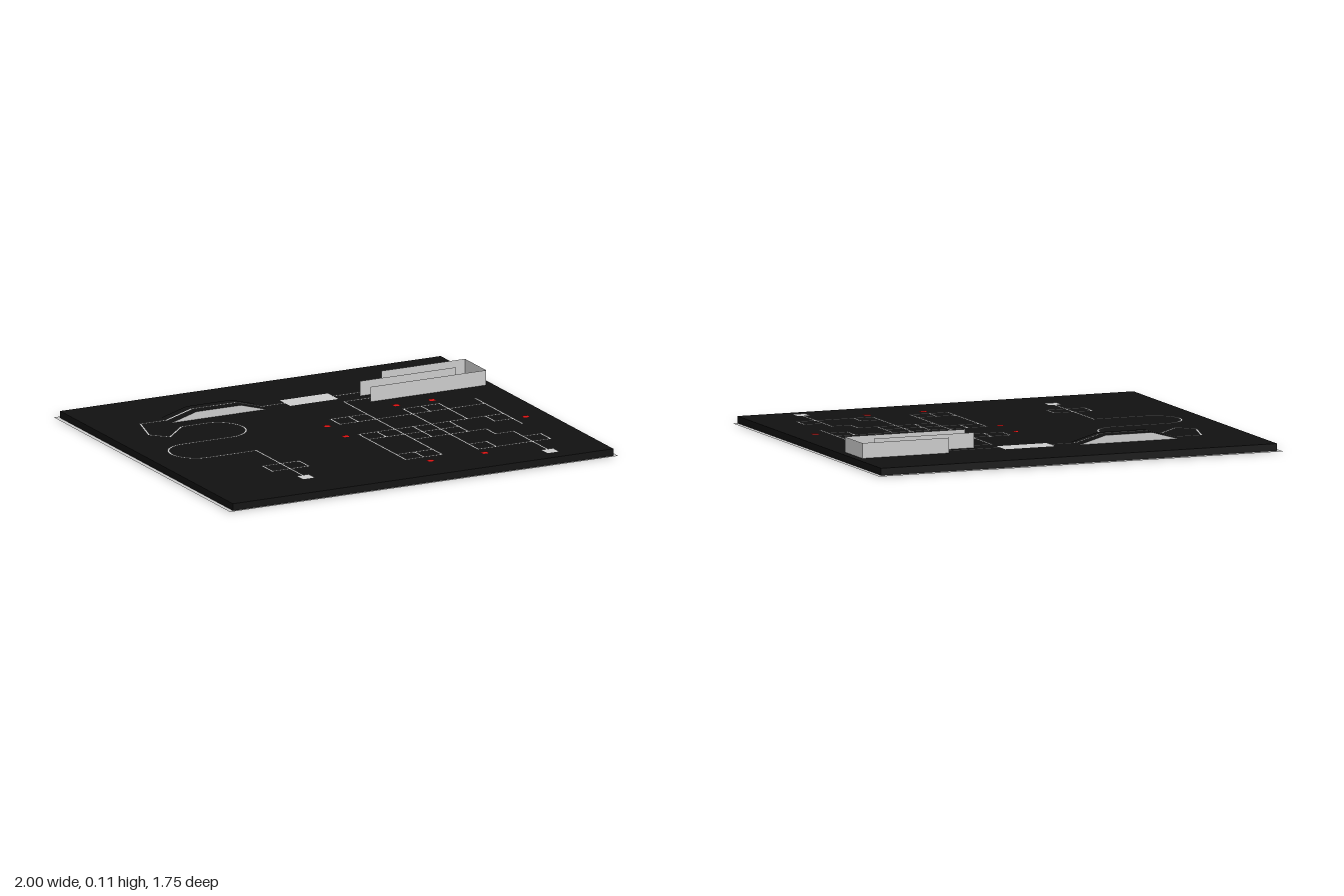
import * as THREE from 'three';

const grey = new THREE.MeshStandardMaterial({ color: 0xcccccc, side: THREE.DoubleSide });
const black = new THREE.MeshStandardMaterial({ color: 0x111111 });
const red = new THREE.MeshStandardMaterial({ color: 0xdd1111 });
const TOP = 0.034; // upper face of the board
const LINE = 0.01; // width of the painted lines

function add(parent, name, geometry, material) {
  const mesh = new THREE.Mesh(geometry, material);
  mesh.name = name;
  parent.add(mesh);
  return mesh;
}

function group(parent, name) {
  const g = new THREE.Group();
  g.name = name;
  parent.add(g);
  return g;
}

// Flat rectangle lying at height y
function tile(parent, name, x, z, w, d, y, material) {
  const geometry = new THREE.PlaneGeometry(w, d).rotateX(-Math.PI / 2);
  add(parent, name, geometry, material).position.set(x, y, z);
}

// Height of the bump profile along x
const bump = [[-0.62, 0], [-0.49, 0.037], [-0.26, 0.037], [-0.13, 0]];

// Flat mitred ribbon along points [x, z, height]
function ribbon(parent, name, points) {
  const pts = points.map(([x, z]) => new THREE.Vector2(x, z));
  const position = [], index = [];
  pts.forEach((p, i) => {
    const a = pts[Math.max(i - 1, 0)], b = pts[Math.min(i + 1, pts.length - 1)];
    const into = (i ? p.clone().sub(a) : b.clone().sub(p)).normalize();
    const out = (i < pts.length - 1 ? b.clone().sub(p) : into.clone()).normalize();
    const n1 = new THREE.Vector2(-into.y, into.x), n2 = new THREE.Vector2(-out.y, out.x);
    const n = n1.clone().add(n2).normalize();
    n.multiplyScalar(LINE / 2 / Math.max(n.dot(n1), 0.4));
    const y = TOP + 0.002 + (points[i][2] || 0);
    position.push(p.x - n.x, y, p.y - n.y, p.x + n.x, y, p.y + n.y);
    if (i) {
      const k = 2 * i;
      index.push(k - 2, k - 1, k, k, k - 1, k + 1);
    }
  });
  const g = new THREE.BufferGeometry();
  g.setAttribute('position', new THREE.Float32BufferAttribute(position, 3));
  g.setIndex(index);
  g.computeVertexNormals();
  add(parent, name, g, grey);
}

export function createModel() {
  const model = new THREE.Group();
  model.name = 'robotCourse';

  // Ground sheet and the black board on it
  tile(model, 'groundSheet', 0, 0, 2, 1.75, 0, grey);
  add(model, 'board', new THREE.BoxGeometry(1.96, TOP - 0.001, 1.715), black)
    .position.set(0, (TOP + 0.001) / 2, 0.008);

  // Bump: black running surface with grey sides
  const profile = new THREE.Shape(bump.map(([x, y]) => new THREE.Vector2(x, y)));
  const bumpGeometry = new THREE.ExtrudeGeometry(profile, { depth: 0.1, bevelEnabled: false });
  add(model, 'bump', bumpGeometry, [grey, black]).position.set(0, TOP, -0.54);

  // Flat plate crossed by the track
  tile(model, 'crossingPlate', 0.114, -0.488, 0.248, 0.103, TOP + 0.001, grey);

  // Winding track, running over the bump
  const track = group(model, 'windingTrack');
  const path = new THREE.Path();
  path.moveTo(-0.62, -0.487);
  path.lineTo(-0.755, -0.487);
  path.absarc(-0.755, -0.439, 0.048, -Math.PI / 2, -Math.PI, true);
  path.lineTo(-0.803, -0.31);
  path.lineTo(-0.733, -0.235);
  path.lineTo(-0.61, -0.36);
  path.lineTo(-0.487, -0.36);
  path.absarc(-0.487, -0.232, 0.128, -Math.PI / 2, Math.PI / 2, false);
  path.lineTo(-0.733, -0.105);
  path.absarc(-0.733, 0.019, 0.124, -Math.PI / 2, -1.5 * Math.PI, true);
  path.lineTo(-0.485, 0.143);
  path.lineTo(-0.485, 0.61);
  const winding = path.getPoints(24).map((p) => [p.x, p.y])
    .filter((p, i, all) => !i || Math.hypot(p[0] - all[i - 1][0], p[1] - all[i - 1][1]) > 0.003);
  const overBump = [...bump].reverse().map(([x, y]) => [x, -0.487, y]);
  ribbon(track, 'trackLine', [[0.61, -0.487], ...overBump, ...winding.slice(1)]);
  ribbon(track, 'trackBox', [[-0.485, 0.385], [-0.577, 0.385], [-0.577, 0.48],
    [-0.39, 0.48], [-0.39, 0.385], [-0.485, 0.385]]);
  tile(track, 'startPad', -0.485, 0.635, 0.062, 0.062, TOP + 0.003, grey);

  // Maze lines on a square grid: [column, row, column, row]
  const maze = group(model, 'maze');
  const gx = (c) => 0.053 + c * 0.0932, gz = (r) => -0.155 + r * 0.0932;
  const across = [[2, -2.45, 3.7], [0, 0, 2], [4, 0, 6], [0, 1, 8], [0, 3, 8], [0, 4, 5],
    [7, 4, 8], [2, 5, 6], [6, 6, 7], [0, 7, 2], [4, 7, 5], [7, 7, 8], [0, 8, 2], [4, 8, 8]];
  const down = [[0, 0, 1], [0, 3, 8], [1, 0, 1], [1, 3, 4], [1, 7, 8], [2, -2.45, 8],
    [3, 3, 5], [4, 0, 8], [5, 0, 1], [5, 3, 5], [5, 7, 8], [6, 0, 3], [6, 5, 6],
    [7, 3, 4], [7, 6, 9.6], [8, 0, 5], [8, 7, 8]];
  const e = LINE / 2;
  for (const [c, r, c2] of across) ribbon(maze, 'mazeLine', [[gx(c) - e, gz(r)], [gx(c2) + e, gz(r)]]);
  for (const [c, r, r2] of down) ribbon(maze, 'mazeLine', [[gx(c), gz(r) - e], [gx(c), gz(r2) + e]]);
  tile(maze, 'exitPad', 0.704, 0.77, 0.062, 0.062, TOP + 0.003, grey);

  // Red markers around the maze
  const markers = [[0.425, -0.222], [0.61, -0.222], [-0.014, -0.062], [-0.014, 0.125],
    [0.865, 0.217], [0.146, 0.658], [0.425, 0.658]];
  for (const [x, z] of markers) tile(model, 'marker', x, z, 0.032, 0.032, TOP + 0.002, red);

  // Thin upright walls of the corridor
  const corridor = group(model, 'corridor');
  const walls = [[0.515, -0.54, 0.945, -0.54], [0.35, -0.437, 0.845, -0.437],
    [0.35, -0.33, 0.945, -0.33], [0.945, -0.54, 0.945, -0.33]];
  for (const [x1, z1, x2, z2] of walls) {
    const wall = add(corridor, 'wall',
      new THREE.PlaneGeometry(Math.hypot(x2 - x1, z2 - z1), 0.071), grey);
    wall.position.set((x1 + x2) / 2, TOP + 0.0355, (z1 + z2) / 2);
    wall.rotation.y = -Math.atan2(z2 - z1, x2 - x1);
  }
  return model;
}
